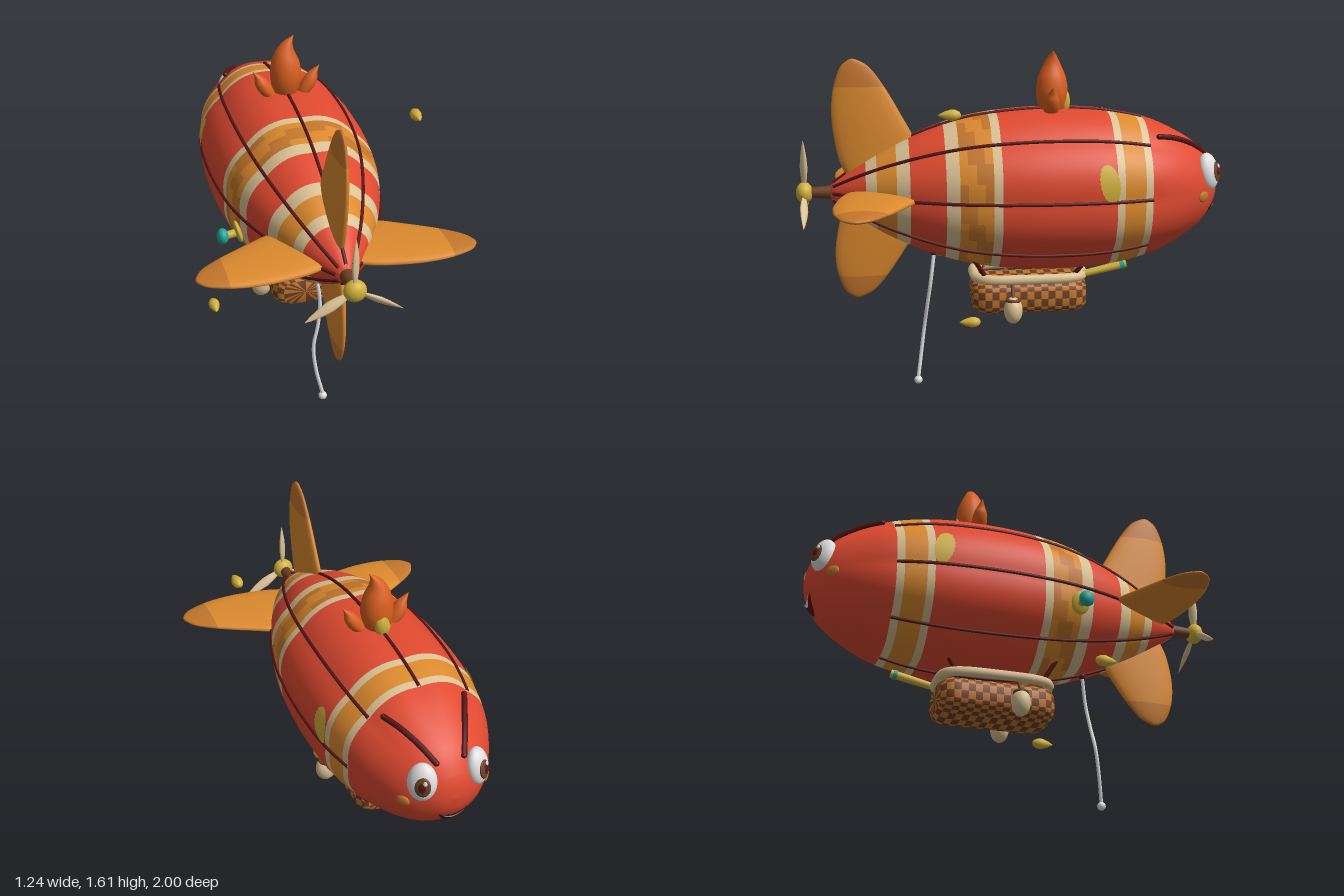
import * as THREE from 'three';
import { ParametricGeometry } from 'three/addons/geometries/ParametricGeometry.js';

const V = (x, y, z) => new THREE.Vector3(x, y, z);
const AXIS = 0.96; // height of the hull axis
const mat = (name, color, side = THREE.FrontSide) => {
  const m = new THREE.MeshStandardMaterial({ color, side });
  m.name = name;
  return m;
};

// Hull radius along z
const hullCurve = new THREE.CatmullRomCurve3([
  [-1, 0], [-0.985, 0.075], [-0.93, 0.165], [-0.85, 0.232], [-0.68, 0.318], [-0.45, 0.37], [-0.2, 0.383],
  [0, 0.374], [0.2, 0.345], [0.4, 0.283], [0.6, 0.19], [0.72, 0.115], [0.8, 0.058], [0.835, 0.03],
].map(([z, r]) => V(z, r, 0)), false, 'centripetal').getPoints(260);
function radiusAt(z) {
  for (let i = 1; i < hullCurve.length; i++) {
    const a = hullCurve[i - 1], b = hullCurve[i];
    if (z <= b.x) return a.y + (b.y - a.y) * Math.max(0, (z - a.x) / (b.x - a.x || 1));
  }
  return 0.03;
}
// Eight soft gores that fade out towards the face
function hullPoint(z, a, lift = 0) {
  const fade = 0.035 * THREE.MathUtils.smoothstep(z, -0.95, -0.6);
  const r = radiusAt(z) * (1 - fade * 0.6 + fade * Math.abs(Math.sin(4 * a))) + lift;
  return V(Math.cos(a) * r, AXIS + Math.sin(a) * r, z);
}
// Point on the face for a given x, y
function facePoint(x, y, lift) {
  const rho = Math.hypot(x, y - AXIS);
  let lo = -1, hi = -0.4;
  for (let i = 0; i < 30; i++) {
    const m = (lo + hi) / 2;
    if (radiusAt(m) < rho) lo = m; else hi = m;
  }
  return V(x, y - lift * 0.7, lo - lift);
}

// Skin closed rings; pick(i, j) gives the material index of a cell
function loft(rings, pick = () => 0) {
  const n = rings[0].length, faces = [];
  const pts = rings.flat();
  let volume = 0;
  const tri = (k, a, b, c) => {
    (faces[k] ||= []).push([a, b, c]);
    volume += pts[a].dot(pts[b].clone().cross(pts[c]));
  };
  for (let i = 0; i < rings.length - 1; i++) for (let j = 0; j < n; j++) {
    const k = pick(i, j), a = i * n + j, b = i * n + (j + 1) % n;
    tri(k, a, b, b + n);
    tri(k, a, b + n, a + n);
  }
  const g = new THREE.BufferGeometry().setFromPoints(pts), index = [];
  faces.forEach((list, k) => {
    g.addGroup(index.length, list.length * 3, k);
    list.forEach(([a, b, c]) => index.push(...(volume < 0 ? [a, c, b] : [a, b, c])));
  });
  g.setIndex(index);
  g.computeVertexNormals();
  return g;
}
const ring = (n, fn) => Array.from({ length: n }, (_, j) => fn((j / n) * Math.PI * 2));
const spow = (v, p) => Math.sign(v) * Math.abs(v) ** p;

export function createModel() {
  const red = mat('hullRed', 0xe04a30), orange = mat('orange', 0xdc8a2e), cream = mat('cream', 0xdcc294);
  const ochre = mat('darkOrange', 0xc4762c), seam = mat('darkMaroon', 0x561414, THREE.DoubleSide);
  const brown = mat('brown', 0x6b3f24), gold = mat('gold', 0xd0b03a, THREE.DoubleSide);
  const teal = mat('teal', 0x1fa392), white = mat('white', 0xdedede, THREE.DoubleSide), flameMat = mat('flame', 0xd9601f);

  const model = new THREE.Group();
  const add = (name, geo, material, parent = model) => {
    const m = new THREE.Mesh(geo, material);
    m.name = name;
    parent.add(m);
    return m;
  };
  const ball = (name, material, pos, scale, parent) => {
    const m = add(name, new THREE.SphereGeometry(1, 24, 16), material, parent);
    m.position.set(...pos);
    m.scale.set(...scale);
    return m;
  };
  const tube = (name, pts, r, material, segs = 24, closed = false) =>
    add(name, new THREE.TubeGeometry(new THREE.CatmullRomCurve3(pts, closed), segs, r, 8, closed), material);
  const rod = (name, a, b, r1, r2, material) => {
    const m = add(name, new THREE.CylinderGeometry(r2, r1, a.distanceTo(b), 16), material);
    m.position.copy(a).lerp(b, 0.5);
    m.quaternion.setFromUnitVectors(V(0, 1, 0), b.clone().sub(a).normalize());
    return m;
  };

  // Hull with painted bands: [end z, material index, subdivisions]
  const bands = [[-0.97, 0, 8], [-0.63, 0, 14], [-0.595, 2, 1], [-0.495, 1, 4], [-0.46, 2, 1], [0.06, 0, 16], [0.1, 2, 1],
    [0.25, 3, 4], [0.31, 2, 2], [0.47, 0, 6], [0.53, 2, 2], [0.62, 1, 4], [0.67, 2, 2], [0.835, 0, 8]];
  const zs = [-1], cells = [];
  bands.forEach(([end, k, n]) => {
    const start = zs[zs.length - 1];
    for (let i = 1; i <= n; i++) {
      const t = i / n;
      zs.push(start + (end - start) * (start === -1 ? t * t : t));
      cells.push([k, i]);
    }
  });
  const hullRings = zs.map((z) => ring(96, (a) => hullPoint(z, a)));
  hullRings.push(ring(96, () => V(0, AXIS, 0.836)));
  cells.push([0, 0]);
  add('hull', loft(hullRings, (i, j) => {
    const [k, row] = cells[i];
    if (k !== 3) return k;
    return (Math.floor(j / 4) * 7 + row * 5) % 4 < 2 ? 3 : 1; // woven patches
  }), [red, orange, cream, ochre]);

  // Seams between the gores
  for (let s = 0; s < 8; s++) {
    const pts = Array.from({ length: 20 }, (_, i) => hullPoint(-0.63 + (1.45 * i) / 19, (s * Math.PI) / 4, 0.003));
    tube('seam', pts, 0.008, seam, 50);
  }

  // Tail fins: [distance from axis, leading z, trailing z]
  const finPts = new THREE.CatmullRomCurve3([[0.05, 0.46, 0.75], [0.15, 0.44, 0.79], [0.25, 0.445, 0.81], [0.35, 0.495, 0.82],
    [0.45, 0.55, 0.815], [0.53, 0.6, 0.797], [0.59, 0.65, 0.77], [0.618, 0.7, 0.735]].map((p) => V(...p))).getPoints(28);
  const finRings = finPts.map((p) => ring(20, (a) => {
    const thick = 0.032 * Math.sqrt(Math.max(0.02, 1 - (p.x / 0.63) ** 2.5));
    return V(Math.sin(a) * thick, p.x, (p.y + p.z) / 2 + (Math.cos(a) * (p.z - p.y)) / 2);
  }));
  finRings.push(ring(20, () => V(0, 0.622, 0.717)));
  const finGeo = loft(finRings, (i) => (finPts[i].x > 0.485 ? 1 : 0));
  [1, 1, 0.83, 1].forEach((size, i) => {
    const f = add('tailFin', finGeo, [orange, ochre]);
    f.position.y = AXIS;
    f.rotation.z = (i * Math.PI) / 2;
    f.scale.y = size;
  });

  // Propeller
  rod('propellerShaft', V(0, AXIS, 0.8), V(0, AXIS, 0.94), 0.034, 0.024, brown);
  ball('propellerHub', gold, [0, AXIS, 0.955], [0.05, 0.05, 0.04]);
  const blade = new THREE.LatheGeometry([[0, 0], [0.011, 0.03], [0.02, 0.08], [0.024, 0.12], [0.019, 0.17], [0.009, 0.22], [0, 0.25]]
    .map(([x, y]) => new THREE.Vector2(x, y)), 16).scale(1, 1, 0.5).rotateY(0.75);
  for (let i = 0; i < 3; i++) {
    const b = add('propellerBlade', blade, cream);
    b.position.set(0, AXIS, 0.955);
    b.rotation.z = (i * Math.PI * 2) / 3;
  }

  // Flame crest: [x, y, radius] along each tongue
  const flame = (name, rows, z, depth, material) => {
    const path = new THREE.CatmullRomCurve3(rows.map((r) => V(...r))).getPoints(24);
    add(name, loft(path.map((p) => ring(18, (a) => V(p.x + Math.cos(a) * Math.max(0, p.z), p.y, z + Math.sin(a) * Math.max(0, p.z) * depth)))), material);
  };
  flame('mainFlame', [[0, 1.3, 0.04], [0, 1.35, 0.062], [0.002, 1.41, 0.074], [0, 1.48, 0.066], [-0.002, 1.54, 0.042], [0.012, 1.58, 0.022], [0.04, 1.612, 0]], -0.205, 1, flameMat);
  for (const s of [1, -1]) flame('sideFlame', [[s * 0.07, 1.31, 0.025], [s * 0.095, 1.35, 0.036], [s * 0.115, 1.39, 0.034],
    [s * 0.128, 1.42, 0.022], [s * 0.16, 1.457, 0]], -0.19, 1, flameMat);
  flame('frontFlame', [[0, 1.32, 0.025], [0, 1.36, 0.036], [0.005, 1.4, 0.03], [0, 1.43, 0.015], [0.01, 1.46, 0]], -0.262, 0.8, gold);

  // Face
  for (const s of [1, -1]) {
    const eye = new THREE.Group();
    eye.name = 'eye';
    eye.position.set(s * 0.128, 1.045, -0.932);
    eye.lookAt(s * 0.75, 1.25, -1.7);
    model.add(eye);
    ball('eyeball', white, [0, 0, 0], [0.064, 0.088, 0.044], eye);
    ball('iris', brown, [s * 0.01, -0.005, 0.036], [0.036, 0.046, 0.012], eye);
    ball('pupil', seam, [s * 0.01, -0.005, 0.042], [0.019, 0.026, 0.009], eye);
    ball('glint', white, [s * 0.01 + 0.012, 0.017, 0.046], [0.009, 0.011, 0.006], eye);
    const cheek = ball('cheek', ochre, [s * 0.197, 0.938, -0.897], [0.032, 0.026, 0.01]);
    cheek.lookAt(s * 0.95, 0.88, -1.5);
    const brow = [-0.68, -0.76, -0.85, -0.93].map((z, i) => hullPoint(z, Math.PI / 2 - s * (0.62 - i * 0.08), 0.008));
    tube('brow', brow, 0.013, seam);
    for (const p of [brow[0], brow[3]]) ball('browEnd', seam, p.toArray(), [0.013, 0.013, 0.013]);
    // Leaf-shaped patch on the flank
    add('flankPatch', new ParametricGeometry((u, v, out) => {
      const t = v * 2 - 1, w = 0.046 * Math.sqrt(Math.max(0, 1 - t * t)) * (1 + 0.06 * Math.cos(v * 50));
      const a = 0.23 + t * 0.23;
      out.copy(hullPoint(-0.422 - t * -0.012 + (u * 2 - 1) * w, s > 0 ? a : Math.PI - a, 0.007));
    }, 8, 28), gold);
  }
  const smile = (name, w, top, bottom, lift, material) => add(name, new ParametricGeometry((u, v, out) => {
    const t = u * 2 - 1, hi = top + 0.022 * t * t, lo = bottom + (top + 0.022 - bottom) * t * t;
    out.copy(facePoint(t * w, lo + (hi - lo) * v, lift));
  }, 16, 8), material);
  smile('mouth', 0.07, 0.862, 0.8, 0.005, seam);
  smile('teeth', 0.054, 0.86, 0.843, 0.009, white);
  smile('tongue', 0.032, 0.822, 0.803, 0.008, flameMat);

  // Woven basket: [position along length, section scale]
  const prof = [[-1, 0], [-1, 0.72], [-0.92, 0.9], [-0.8, 1]];
  for (let i = 1; i < 13; i++) prof.push([-0.8 + (1.6 * i) / 13, 1]);
  prof.push([0.8, 1], [0.92, 0.9], [1, 0.72], [1, 0]);
  add('basket', loft(prof.map(([t, k]) => ring(24, (a) => V(spow(Math.cos(a), 0.6) * 0.15 * k,
    0.45 + spow(Math.sin(a), 0.6) * 0.086 * k, -0.093 + t * 0.27))), (i, j) => (i + j) % 2), [brown, ochre]);
  tube('basketRim', ring(32, (a) => V(spow(Math.cos(a), 0.5) * 0.147, 0.547, -0.093 + spow(Math.sin(a), 0.5) * 0.26)), 0.024, cream, 80, true);
  for (const s of [1, -1]) {
    rod('suspensionLine', V(s * 0.11, 0.54, 0.11), V(s * 0.155, 0.66, 0.18), 0.011, 0.011, seam);
    rod('suspensionLine', V(s * 0.11, 0.54, -0.29), V(s * 0.155, 0.66, -0.37), 0.011, 0.011, seam);
    ball('ballastBag', cream, [s * 0.176, 0.408, -0.005], [0.05, 0.064, 0.044]);
    const tie = add('ballastTie', new THREE.TorusGeometry(0.028, 0.009, 8, 20), brown);
    tie.position.set(s * 0.176, 0.458, -0.005);
    tie.rotation.x = Math.PI / 2;
    rod('ballastStrap', V(s * 0.176, 0.465, -0.005), V(s * 0.145, 0.52, -0.005), 0.009, 0.009, brown);
  }

  // Telescope at the basket
  const t0 = V(0.09, 0.545, -0.32), t1 = V(0.1, 0.6, -0.555), at = (k) => t0.clone().lerp(t1, k);
  rod('telescope', t0, t1, 0.016, 0.02, gold);
  rod('telescopeRing', at(0.87), at(0.95), 0.025, 0.025, teal);

  // Side lamp on the hull
  const plate = ball('lampPlate', gold, [-0.335, 0.872, 0.235], [0.015, 0.055, 0.045]);
  plate.rotation.z = 0.25;
  rod('lampStem', V(-0.32, 0.872, 0.235), V(-0.4, 0.86, 0.24), 0.02, 0.018, gold);
  ball('lampHead', teal, [-0.408, 0.86, 0.24], [0.027, 0.038, 0.036]);

  // Mooring rope
  tube('mooringRope', [V(0, 0.655, 0.355), V(0.015, 0.52, 0.373), V(0.002, 0.4, 0.39), V(-0.022, 0.29, 0.404),
    V(-0.015, 0.17, 0.42), V(0.015, 0.03, 0.44)], 0.009, white, 40);
  ball('ropeAnchor', seam, [0, 0.655, 0.355], [0.016, 0.016, 0.016]);
  ball('ropeEnd', white, [0.015, 0.02, 0.44], [0.02, 0.02, 0.02]);

  // Floating golden drops
  const drop = new THREE.LatheGeometry([[0, -0.05], [0.014, -0.044], [0.024, -0.025], [0.025, -0.005], [0.017, 0.022], [0.007, 0.042], [0, 0.052]]
    .map(([x, y]) => new THREE.Vector2(x, y)), 18).rotateX(Math.PI / 2);
  for (const p of [[0.47, 1.39, 0.305], [-0.468, 0.53, 0.3], [0.135, 0.343, 0.195]]) add('goldenDrop', drop, gold).position.set(...p);

  return model;
}
